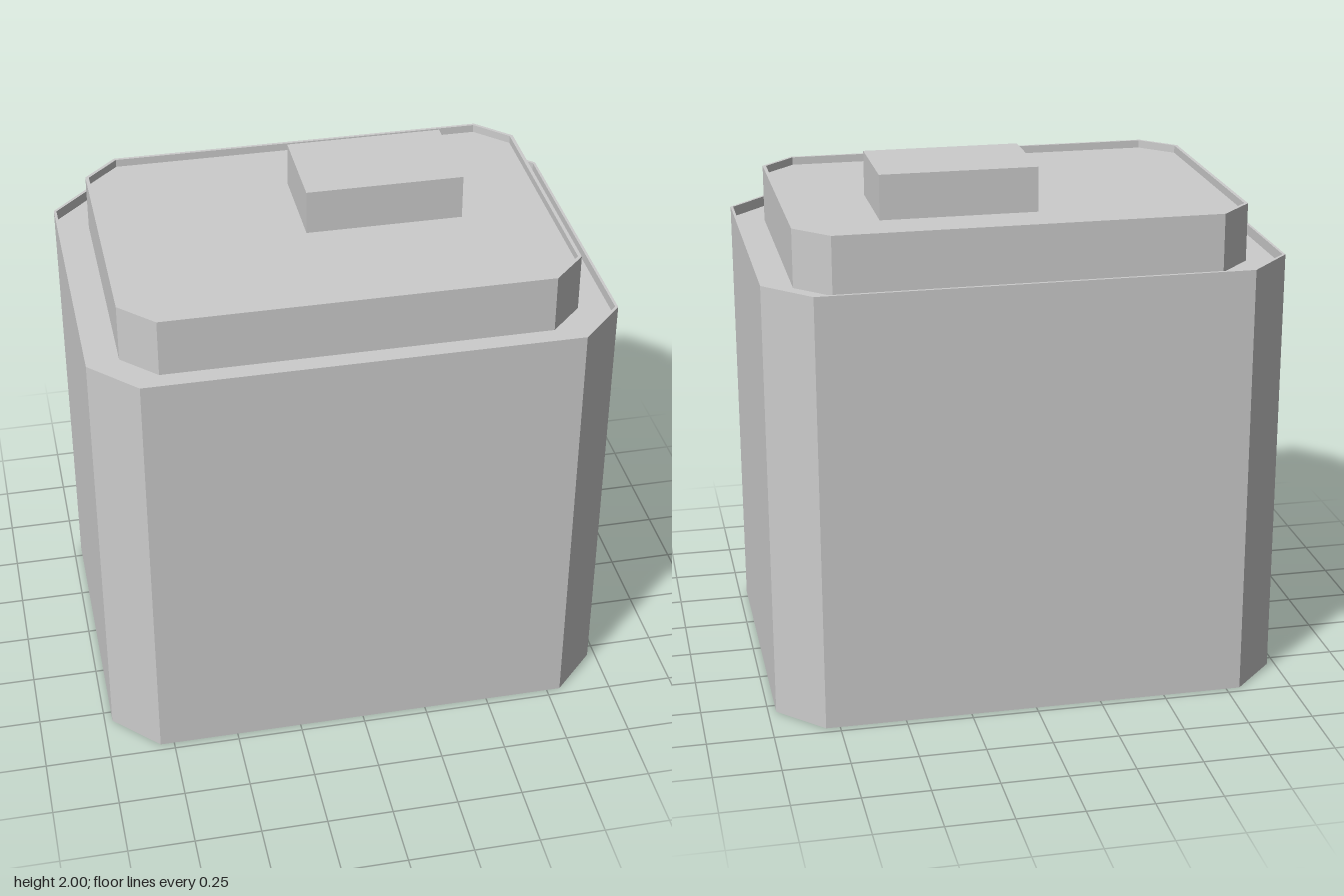
import * as THREE from 'three';

// Rectangle with cut corners: half sizes x, z and the points where the cuts begin
function ring(x, z, cx, cz, y) {
  return [[x, -cz], [x, cz], [cx, z], [-cx, z], [-x, cz], [-x, -cz], [-cx, -z], [cx, -z]]
    .map(([px, pz]) => [px, y, pz]);
}

// Flat-sided shell joining successive rings, optionally closed by the last ring
function shell(rings, closed) {
  const pos = [];
  const tri = (...pts) => pts.forEach((p) => pos.push(...p));
  for (let k = 0; k < rings.length - 1; k++) {
    const a = rings[k], b = rings[k + 1];
    for (let i = 0; i < a.length; i++) {
      const j = (i + 1) % a.length;
      tri(a[i], b[i], b[j]);
      tri(a[i], b[j], a[j]);
    }
  }
  const top = rings[rings.length - 1];
  if (closed) for (let i = 1; i < top.length - 1; i++) tri(top[0], top[i + 1], top[i]);
  const geo = new THREE.BufferGeometry();
  geo.setAttribute('position', new THREE.Float32BufferAttribute(pos, 3));
  geo.computeVertexNormals();
  return geo;
}

export function createModel() {
  const model = new THREE.Group();
  const grey = new THREE.MeshStandardMaterial({ color: 0xcccccc, side: THREE.DoubleSide });
  grey.name = 'lightGrey';
  const add = (name, geo) => {
    const mesh = new THREE.Mesh(geo, grey);
    mesh.name = name;
    model.add(mesh);
    return mesh;
  };

  const outer = (y) => ring(0.97, 0.72, 0.803, 0.55, y);
  const outerLip = (y) => ring(0.96, 0.708, 0.798, 0.545, y);
  const upper = (y) => ring(0.845, 0.593, 0.72, 0.468, y);
  const upperLip = (y) => ring(0.832, 0.581, 0.714, 0.463, y);

  // Walls open at the bottom, with a thin parapet around a sunken ledge
  add('body', shell([outer(0), outer(1.68), outerLip(1.68), outerLip(1.64), upper(1.64)], false));

  // Smaller top storey with its own parapet and sunken roof
  add('upperTier', shell([upper(1.64), upper(1.86), upperLip(1.86), upperLip(1.83)], true));

  // Off-centre block on the roof
  add('roofBlock', new THREE.BoxGeometry(0.592, 0.17, 0.375)).position.set(0.209, 1.915, -0.13);

  return model;
}
